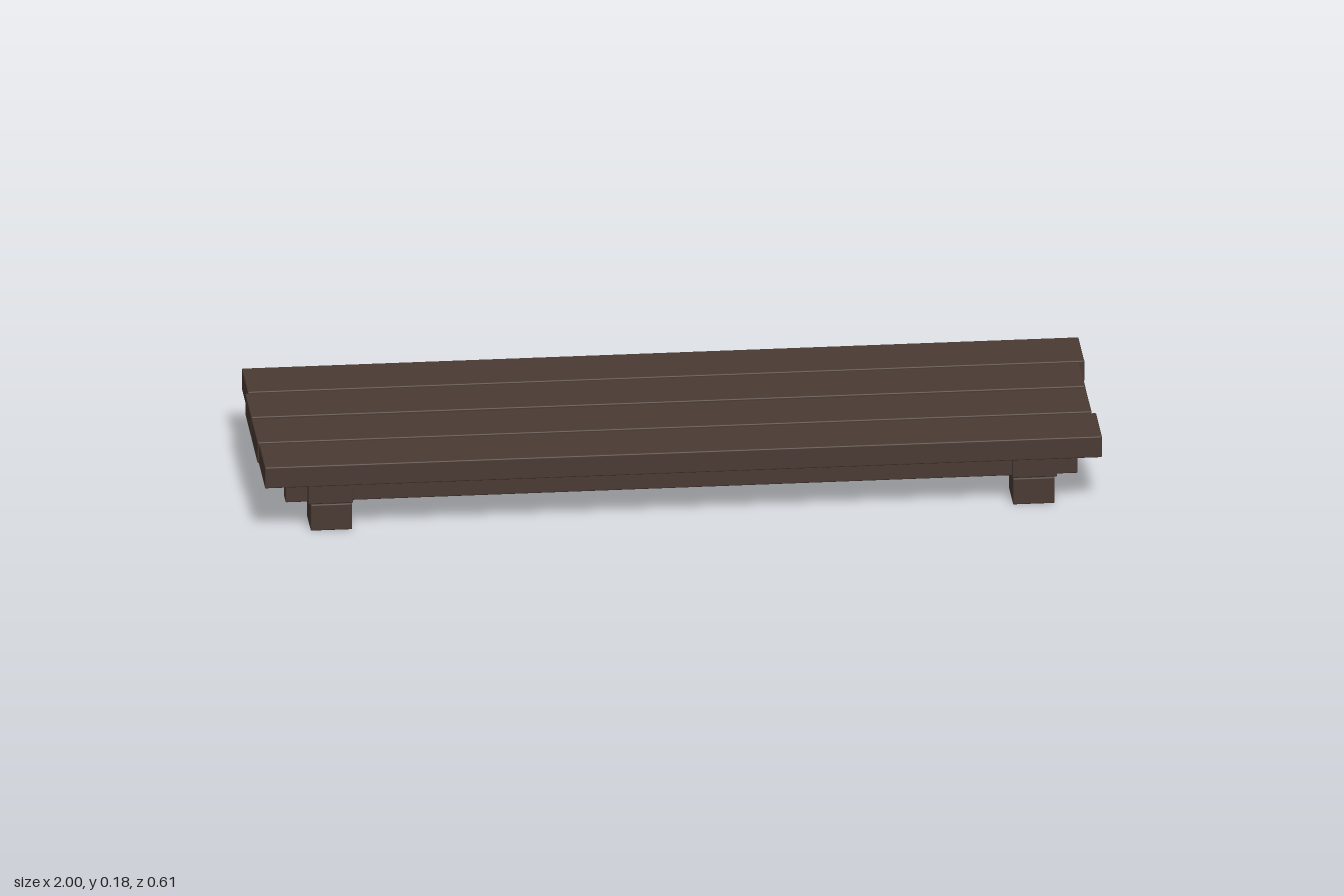
import * as THREE from 'three';
import { RoundedBoxGeometry } from 'three/addons/geometries/RoundedBoxGeometry.js';

export function createModel() {
  const model = new THREE.Group();
  model.name = 'lowPlankTable';
  const darkWood = new THREE.MeshStandardMaterial({ color: 0x4a3a33 });
  darkWood.name = 'darkWood';

  // Softly bevelled timber given by its extents along each axis
  function timber(name, [x0, x1], [y0, y1], [z0, z1]) {
    const geometry = new RoundedBoxGeometry(x1 - x0, y1 - y0, z1 - z0, 2, 0.003);
    const mesh = new THREE.Mesh(geometry, darkWood);
    mesh.name = name;
    mesh.position.set((x0 + x1) / 2, (y0 + y1) / 2, (z0 + z1) / 2);
    model.add(mesh);
  }

  // Top planks, back to front, with slightly uneven ends and heights
  const planks = [
    { x: [-0.993, 1], y: 0.179, z: -0.2315 },
    { x: [-1, 0.987], y: 0.179, z: -0.0765 },
    { x: [-1, 0.987], y: 0.178, z: 0.0785 },
    { x: [-0.997, 0.997], y: 0.177, z: 0.2325 },
  ];
  planks.forEach(({ x, y, z }, i) =>
    timber(`plank${i + 1}`, x, [y - 0.054, y], [z - 0.0735, z + 0.0735]));

  // Long rails under the planks
  timber('frontRail', [-0.945, 0.942], [0.071, 0.121], [0.23, 0.272]);
  timber('backRail', [-0.945, 0.942], [0.071, 0.121], [-0.272, -0.23]);

  // Cross beams with a foot at each end
  for (const side of [-1, 1]) {
    const span = (a, b) => (side > 0 ? [a, b] : [-b, -a]);
    const label = side > 0 ? 'left' : 'right';
    timber(`${label}CrossBeam`, span(0.785, 0.892), [0.07, 0.122], [-0.287, 0.287]);
    timber(`${label}FrontFoot`, span(0.787, 0.886), [0, 0.067], [0.185, 0.282]);
    timber(`${label}BackFoot`, span(0.787, 0.886), [0, 0.067], [-0.282, -0.185]);
  }
  return model;
}
